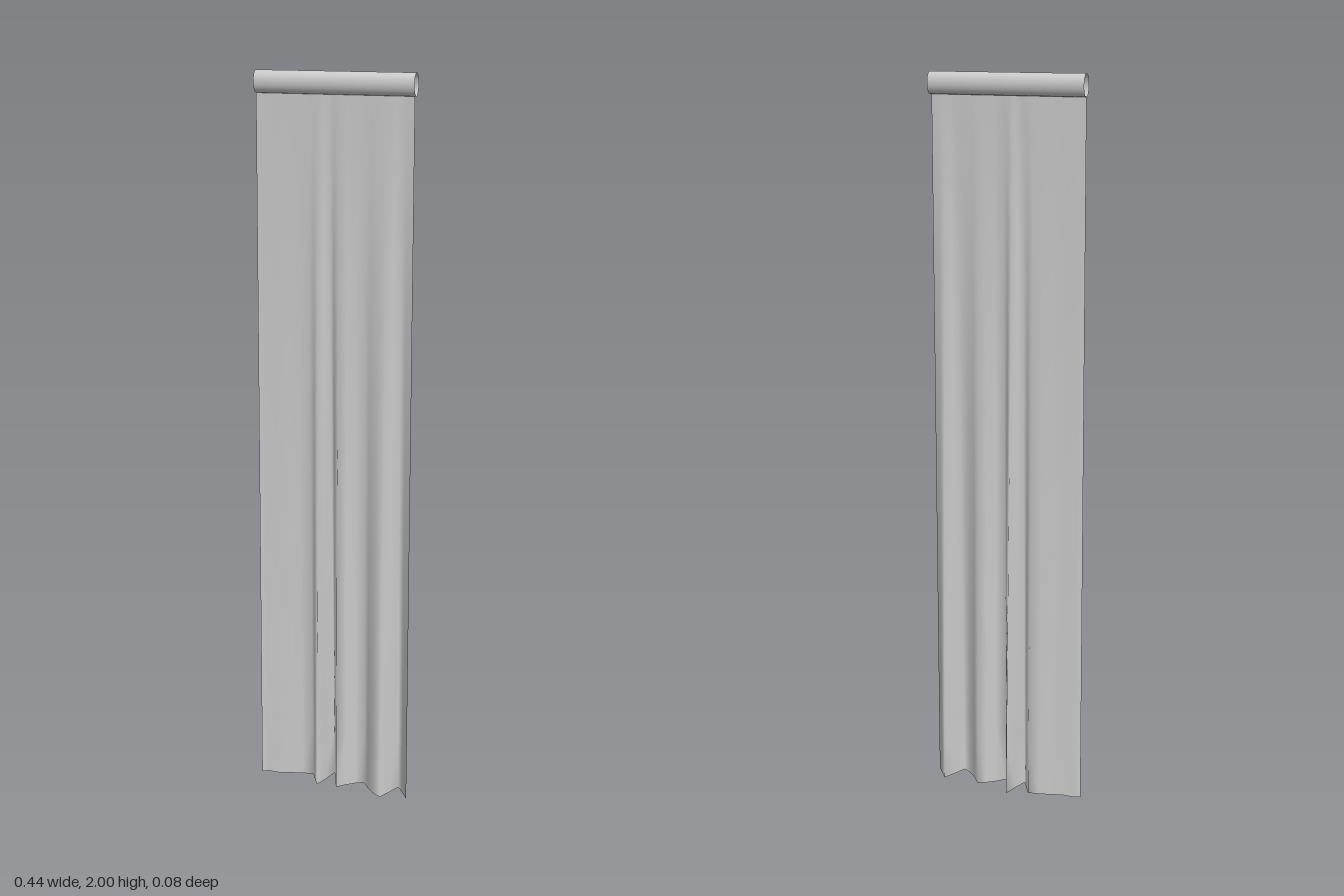
import * as THREE from 'three';

export function createModel() {
  const group = new THREE.Group();
  const material = new THREE.MeshStandardMaterial({ color: 0xcccccc, side: THREE.DoubleSide });

  // Hollow, slightly flattened sleeve along the top
  const sleeveGeometry = new THREE.CylinderGeometry(1, 1, 0.422, 24, 1, true);
  sleeveGeometry.rotateZ(Math.PI / 2).scale(1, 0.0285, 0.0195).translate(0.001, 1.9715, 0.0075);
  const sleeve = new THREE.Mesh(sleeveGeometry, material);
  sleeve.name = 'topSleeve';
  group.add(sleeve);

  // Fold line of the hem as [x, z]
  const hem = [
    [-0.222, 0.017], [-0.205, 0.009], [-0.17, 0.008], [-0.135, -0.003], [-0.105, -0.011],
    [-0.075, -0.017], [-0.06, 0.008], [-0.045, 0.035], [-0.031, 0], [-0.017, -0.043],
    [-0.003, -0.008], [0.012, 0.031], [0.035, 0.01], [0.06, -0.008], [0.083, -0.017],
    [0.1, 0.005], [0.122, 0.027], [0.147, 0.041], [0.165, 0.008], [0.183, -0.026],
    [0.2, -0.004], [0.221, 0.025],
  ];

  // Cloth: straight under the sleeve, its folds deepening evenly towards the hem
  const rows = 12, top = 1.945;
  const clothGeometry = new THREE.PlaneGeometry(1, 1, hem.length - 1, rows);
  const position = clothGeometry.attributes.position;
  for (let row = 0; row <= rows; row++) {
    const t = row / rows;
    hem.forEach(([x, z], column) => {
      position.setXYZ(
        row * hem.length + column,
        x * THREE.MathUtils.lerp(0.945, 1, t),
        top * (1 - t),
        THREE.MathUtils.lerp(0.009, z, t)
      );
    });
  }
  clothGeometry.computeVertexNormals();
  const cloth = new THREE.Mesh(clothGeometry, material);
  cloth.name = 'hangingCloth';
  group.add(cloth);

  return group;
}
